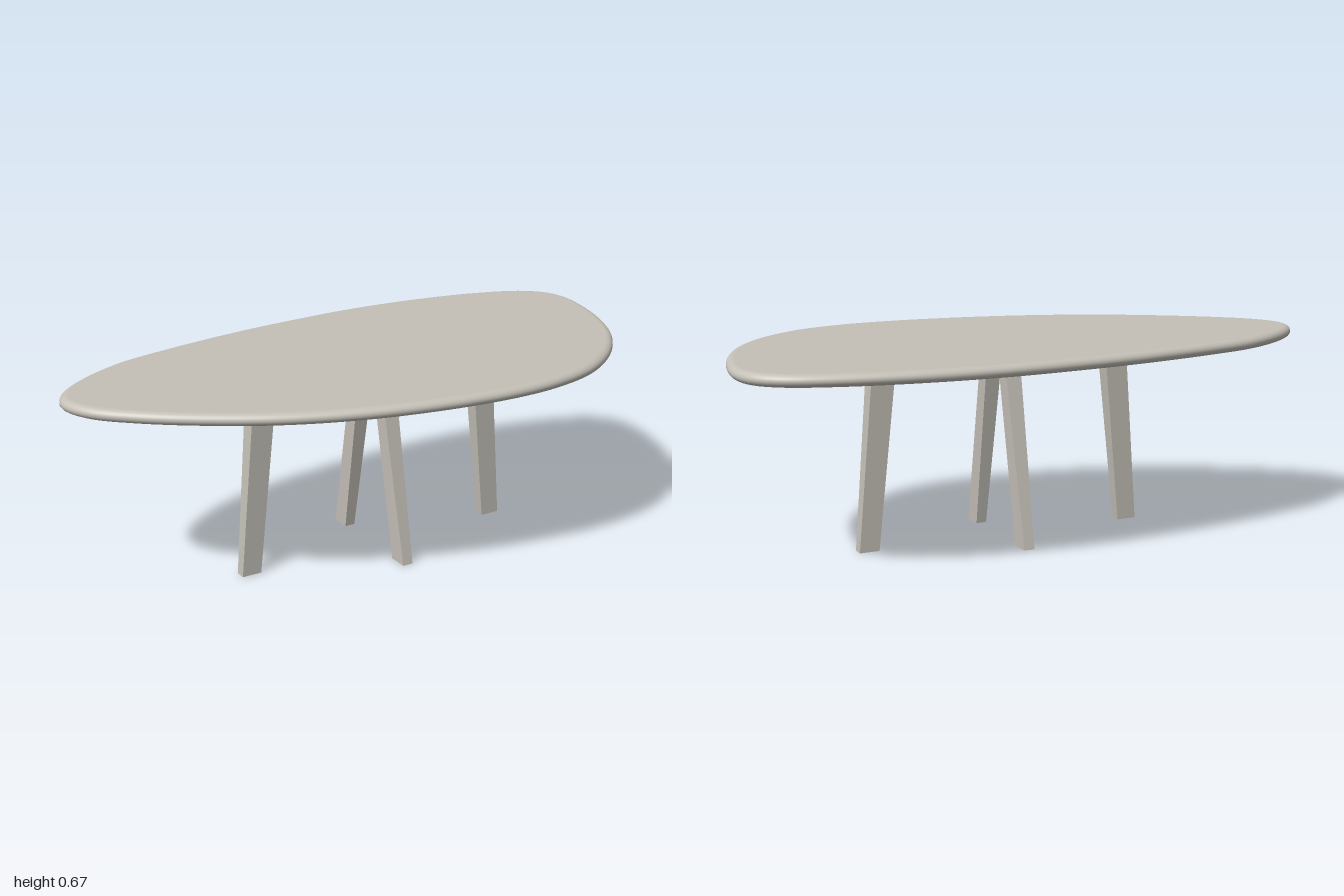
import * as THREE from 'three';

const TOP_Y = 0.63, BEAM_Y = 0.6;

// Clockwise outline of the table top as x, z pairs
const OUTLINE = [
  [-1, -0.13], [-0.98, -0.2], [-0.905, -0.278], [-0.72, -0.382], [-0.52, -0.433], [-0.24, -0.479],
  [0, -0.5], [0.243, -0.507], [0.51, -0.485], [0.75, -0.435], [0.9, -0.375], [0.976, -0.3],
  [0.998, -0.21], [0.976, -0.06], [0.928, 0.085], [0.858, 0.215], [0.74, 0.347], [0.59, 0.445],
  [0.43, 0.49], [0.27, 0.502], [0.03, 0.481], [-0.24, 0.422], [-0.48, 0.331], [-0.69, 0.208],
  [-0.853, 0.085], [-0.96, -0.025],
];

// Rounded slab: the outline is inset ring by ring to follow a rounded edge
function createTop(material) {
  const group = new THREE.Group();
  group.name = 'tableTop';
  const curve = new THREE.CatmullRomCurve3(OUTLINE.map(([x, z]) => new THREE.Vector3(x, 0, z)), true);
  const n = 160, steps = 14, inset = 0.025, half = 0.02;
  const points = curve.getSpacedPoints(n).slice(0, n);
  const inward = points.map((p, i) => {
    const a = points[(i + n - 1) % n], b = points[(i + 1) % n];
    return new THREE.Vector3(a.z - b.z, 0, b.x - a.x).normalize();
  });
  const ring = (amount) => points.map((p, i) => p.clone().addScaledVector(inward[i], amount));

  const positions = [], index = [];
  for (let s = 0; s <= steps; s++) {
    const angle = -Math.PI / 2 + (Math.PI * s) / steps;
    const y = TOP_Y + half + half * Math.sin(angle);
    for (const p of ring(inset * (1 - Math.cos(angle)))) positions.push(p.x, y, p.z);
  }
  for (let s = 0; s < steps; s++) {
    for (let i = 0; i < n; i++) {
      const a = s * n + i, b = s * n + ((i + 1) % n);
      index.push(a, a + n, b, b, a + n, b + n);
    }
  }
  const edge = new THREE.BufferGeometry();
  edge.setAttribute('position', new THREE.Float32BufferAttribute(positions, 3));
  edge.setIndex(index);
  edge.computeVertexNormals();
  const rim = new THREE.Mesh(edge, material);
  rim.name = 'roundedEdge';
  group.add(rim);

  // Flat upper and lower faces
  for (const side of [1, -1]) {
    const shape = new THREE.Shape(ring(inset).map((p) => new THREE.Vector2(p.x, -side * p.z)));
    const geometry = new THREE.ShapeGeometry(shape);
    geometry.rotateX((-side * Math.PI) / 2);
    geometry.translate(0, side > 0 ? TOP_Y + 2 * half : TOP_Y, 0);
    const face = new THREE.Mesh(geometry, material);
    face.name = side > 0 ? 'upperFace' : 'lowerFace';
    group.add(face);
  }
  return group;
}

// Two splayed legs joined by a beam, thinner towards the floor
function createFrame(name, material, footOuter, footInner, topOuter, topInner) {
  const shape = new THREE.Shape([
    [-footOuter, 0], [-footInner, 0], [-topInner, BEAM_Y], [topInner, BEAM_Y],
    [footInner, 0], [footOuter, 0], [topOuter, TOP_Y], [-topOuter, TOP_Y],
  ].map(([x, y]) => new THREE.Vector2(x, y)));
  const geometry = new THREE.ExtrudeGeometry(shape, { depth: 2, bevelEnabled: false });
  geometry.translate(0, 0, -1);
  const pos = geometry.attributes.position;
  for (let i = 0; i < pos.count; i++) {
    pos.setZ(i, pos.getZ(i) * (0.018 + (0.01 * pos.getY(i)) / TOP_Y));
  }
  geometry.computeVertexNormals();
  const mesh = new THREE.Mesh(geometry, material);
  mesh.name = name;
  mesh.position.set(0.035, 0, -0.007);
  return mesh;
}

export function createModel() {
  const model = new THREE.Group();
  model.name = 'table';
  const material = new THREE.MeshStandardMaterial({ color: 0xc4c0b7 });
  material.name = 'warmGrey';

  const longFrame = createFrame('longLegFrame', material, 0.511, 0.443, 0.459, 0.381);
  const crossFrame = createFrame('crossLegFrame', material, 0.221, 0.152, 0.088, 0.042);
  crossFrame.rotation.y = Math.PI / 2;
  model.add(createTop(material), longFrame, crossFrame);
  return model;
}
